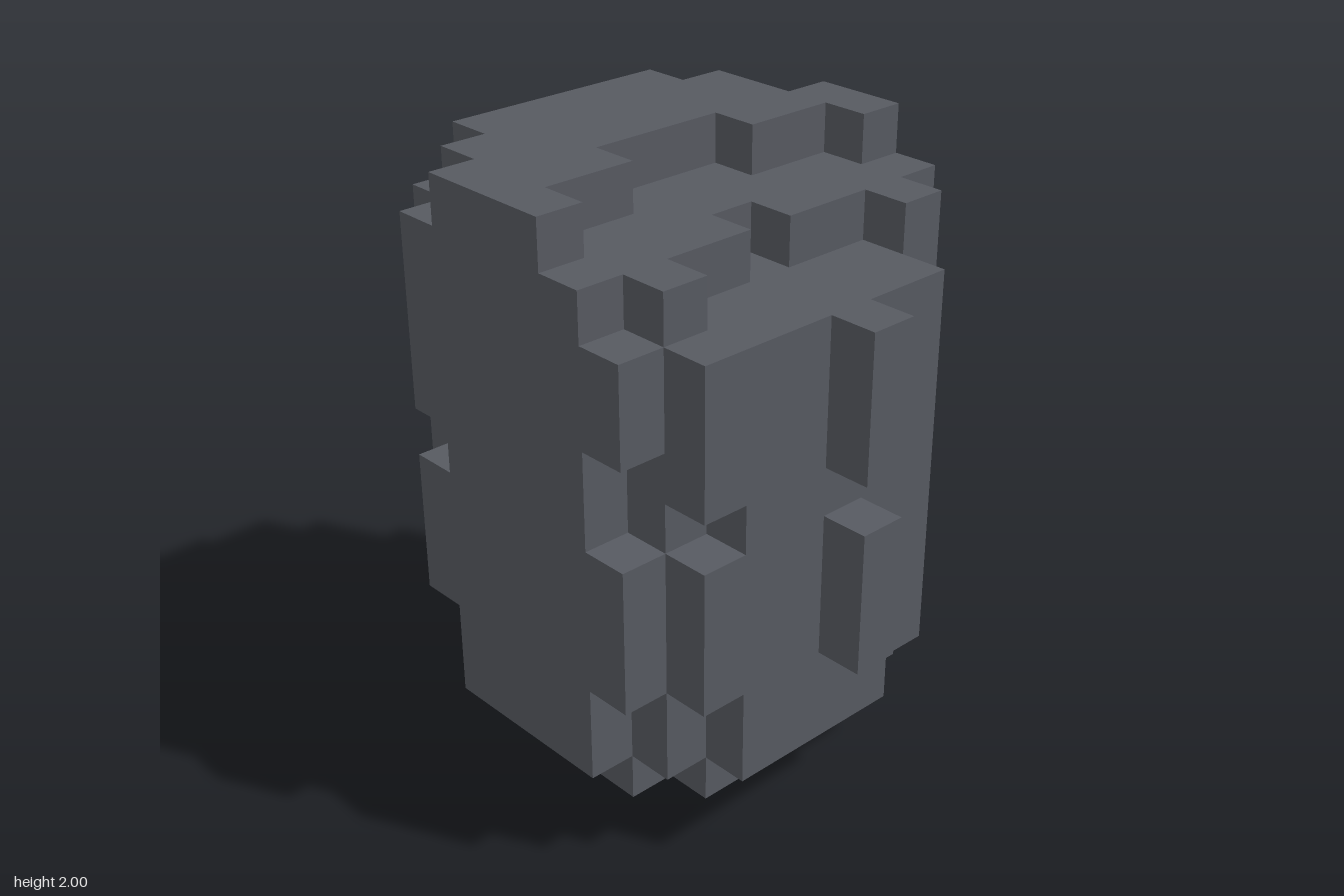
import * as THREE from 'three';

// One block is 1/13 of the height. Columns run x -5..5, rows z 0..8 (back to front), layers y 0..13.
const U = 2 / 13;

// Each part is a list of block runs: [x0, x1, y0, y1, z0, z1]
const PARTS = {
  base: [
    [-2, 2, 0, 1, 3, 6], [-1, 1, 0, 1, 6, 7],
    [-1, 1, 1, 2, 1, 2], [-3, 3, 1, 2, 2, 7], [-4, -3, 1, 2, 4, 5], [-2, 2, 1, 2, 7, 8],
  ],
  body: [
    [-3, 3, 2, 12, 1, 2],
    [-4, 3, 2, 3, 2, 3], [-4, 4, 3, 11, 2, 3],
    [-4, 4, 2, 11, 3, 7],
    // front row, stepped on its right edge
    [-3, 3, 2, 3, 7, 8], [-4, 3, 3, 4, 7, 8], [-4, 4, 4, 7, 7, 8],
    [-4, 3, 7, 8, 7, 8], [-4, 4, 8, 11, 7, 8],
    // upper layer with a notch in its right edge
    [-4, 2, 11, 12, 2, 4], [-4, 1, 11, 12, 4, 5], [-4, 2, 11, 12, 5, 7], [-4, 3, 11, 12, 7, 8],
  ],
  cap: [
    [-1, 1, 12, 13, 0, 1], [-3, 0, 12, 13, 1, 2], [-4, 0, 12, 13, 2, 3], [-4, -1, 12, 13, 3, 6],
    [-4, 0, 12, 13, 6, 7], [-3, 0, 12, 13, 7, 8], [-2, 1, 12, 13, 8, 9],
  ],
  backPanel: [[-2, 2, 3, 12, 0, 1]],
  frontPanel: [
    [-2, 2, 2, 4, 8, 9], [-3, 3, 4, 7, 8, 9], [-2, 2, 7, 8, 8, 9],
    [-3, 2, 8, 9, 8, 9], [-3, 3, 9, 11, 8, 9], [-3, 2, 11, 12, 8, 9],
  ],
  leftRidges: [[4, 5, 4, 7, 4, 5], [4, 5, 8, 11, 4, 5]],
  rightRidges: [
    [-5, -4, 4, 7, 3, 4], [-5, -4, 9, 11, 3, 4],
    [-5, -4, 3, 12, 4, 5],
    [-5, -4, 4, 7, 5, 6], [-5, -4, 8, 12, 5, 6],
  ],
};

const key = (c) => c.join();

// All block cells covered by a list of runs
function cellsOf(runs) {
  const cells = [];
  for (const [x0, x1, y0, y1, z0, z1] of runs)
    for (let x = x0; x < x1; x++)
      for (let y = y0; y < y1; y++)
        for (let z = z0; z < z1; z++) cells.push([x, y, z]);
  return cells;
}

// Outer faces only: a face is made where the neighbouring cell is empty
function shell(cells, filled) {
  const pos = [], nor = [], idx = [];
  for (const cell of cells)
    for (let a = 0; a < 3; a++)
      for (const s of [-1, 1]) {
        const next = [...cell];
        next[a] += s;
        if (filled.has(key(next))) continue;
        const b = (a + 1) % 3, c = (a + 2) % 3, n = pos.length / 3;
        for (const [p, q] of [[0, 0], [1, 0], [1, 1], [0, 1]]) {
          const v = [...cell];
          v[a] += s > 0 ? 1 : 0;
          v[b] += p;
          v[c] += q;
          pos.push(v[0] * U, v[1] * U, (v[2] - 4.5) * U);
          const d = [0, 0, 0];
          d[a] = s;
          nor.push(...d);
        }
        if (s > 0) idx.push(n, n + 1, n + 2, n, n + 2, n + 3);
        else idx.push(n, n + 2, n + 1, n, n + 3, n + 2);
      }
  const g = new THREE.BufferGeometry();
  g.setAttribute('position', new THREE.Float32BufferAttribute(pos, 3));
  g.setAttribute('normal', new THREE.Float32BufferAttribute(nor, 3));
  g.setIndex(idx);
  return g;
}

export function createModel() {
  const group = new THREE.Group();
  group.name = 'blockyBoulder';
  const stone = new THREE.MeshStandardMaterial({ color: 0x575a61 });
  stone.name = 'slate grey';
  const filled = new Set(Object.values(PARTS).flatMap(cellsOf).map(key));
  for (const [name, runs] of Object.entries(PARTS)) {
    const mesh = new THREE.Mesh(shell(cellsOf(runs), filled), stone);
    mesh.name = name;
    group.add(mesh);
  }
  return group;
}
